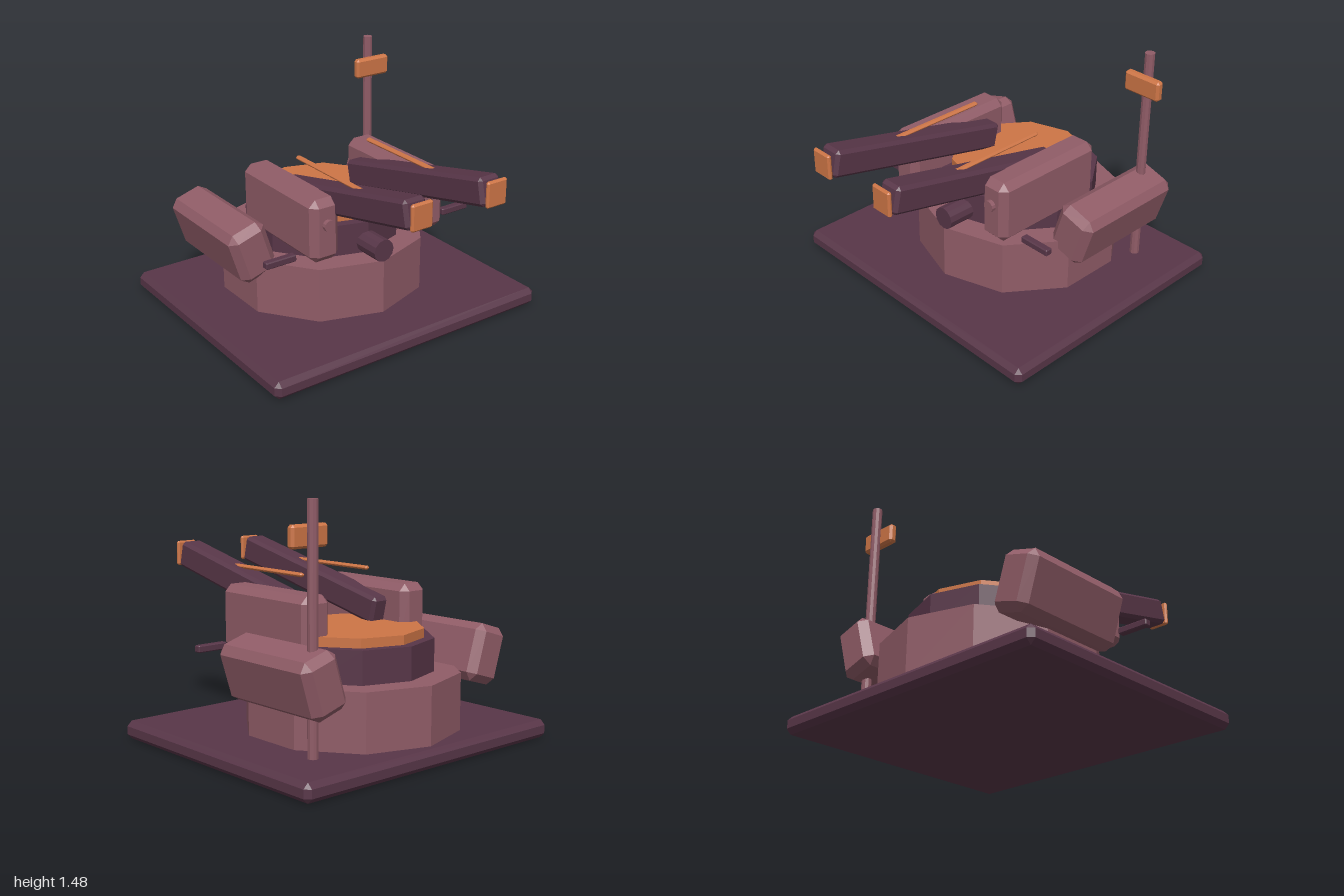
import * as THREE from 'three';
import { ConvexGeometry } from 'three/addons/geometries/ConvexGeometry.js';

const material = (name, color) => {
  const m = new THREE.MeshStandardMaterial({ color });
  m.name = name;
  m.flatShading = true;
  return m;
};

// Box with a single flat bevel c on every edge and corner
function bevelBox(w, h, d, c) {
  const pts = [];
  for (const x of [-1, 1]) for (const y of [-1, 1]) for (const z of [-1, 1]) {
    const a = w / 2, b = h / 2, e = d / 2;
    pts.push(
      new THREE.Vector3(x * a, y * (b - c), z * (e - c)),
      new THREE.Vector3(x * (a - c), y * b, z * (e - c)),
      new THREE.Vector3(x * (a - c), y * (b - c), z * e));
  }
  return new ConvexGeometry(pts);
}

export function createModel() {
  const plum = material('dark plum', 0x583648);
  const rose = material('dusty rose', 0x905c67);
  const orange = material('orange', 0xcd7546);
  const model = new THREE.Group();
  model.name = 'turret';

  const add = (name, geometry, mat, x, y, z) => {
    const mesh = new THREE.Mesh(geometry, mat);
    mesh.name = name;
    mesh.position.set(x, y, z);
    model.add(mesh);
    return mesh;
  };
  // Upright ten-sided drum between two heights
  const drum = (name, r, y0, y1, mat, x = 0, z = -0.295) =>
    add(name, new THREE.CylinderGeometry(r, r, y1 - y0, 10), mat, x, (y0 + y1) / 2, z);
  // Short cylinder pointing forward
  const stud = (name, r, z0, z1, mat, x, y) => {
    add(name, new THREE.CylinderGeometry(r, r, z1 - z0, 12), mat, x, y, (z0 + z1) / 2).rotation.x = Math.PI / 2;
  };

  // Ground plate and stacked drums
  add('basePlate', bevelBox(1.91, 0.11, 1.66, 0.03), plum, 0, 0.055, -0.17);
  drum('lowerDrum', 0.64, 0.1, 0.45, rose);
  drum('turntable', 0.485, 0.44, 0.645, plum);
  drum('turntableCap', 0.425, 0.63, 0.7, orange);
  stud('frontSensor', 0.07, -0.1, 0.345, plum, 0, 0.515);

  for (const s of [1, -1]) {
    const side = s > 0 ? 'left' : 'right';

    // Side housing with its front stud
    add(side + 'Housing', bevelBox(0.195, 0.385, 0.765, 0.042), rose, s * 0.383, 0.733, -0.063);
    stud(side + 'HousingStud', 0.035, 0.25, 0.345, rose, s * 0.383, 0.775);

    // Raised gun barrel, muzzle plate and sight rod
    add(side + 'Barrel', bevelBox(0.148, 0.165, 1.265, 0.02), plum, s * 0.258, 0.9, 0.335).rotation.x = -0.227;
    add(side + 'Muzzle', bevelBox(0.14, 0.155, 0.028, 0.01), orange, s * 0.258, 1.04, 0.986);
    add(side + 'SightRod', bevelBox(0.035, 0.024, 0.85, 0.01), orange, s * 0.258, 1.003, 0.26);

    // Pod leaning outward, with a small bar in front
    add(side + 'Pod', bevelBox(0.25, 0.345, 0.765, 0.045), rose, s * 0.638, 0.515, -0.425).rotation.z = -s * 0.3;
    add(side + 'PodBar', bevelBox(0.2, 0.042, 0.045, 0.006), plum, s * 0.638, 0.58, 0.213);
  }

  // Mast with sign
  drum('mast', 0.03, 0.1, 1.48, rose, 0.638, -0.68);
  add('mastSign', bevelBox(0.25, 0.125, 0.052, 0.014), orange, 0.638, 1.287, -0.642);

  return model;
}
